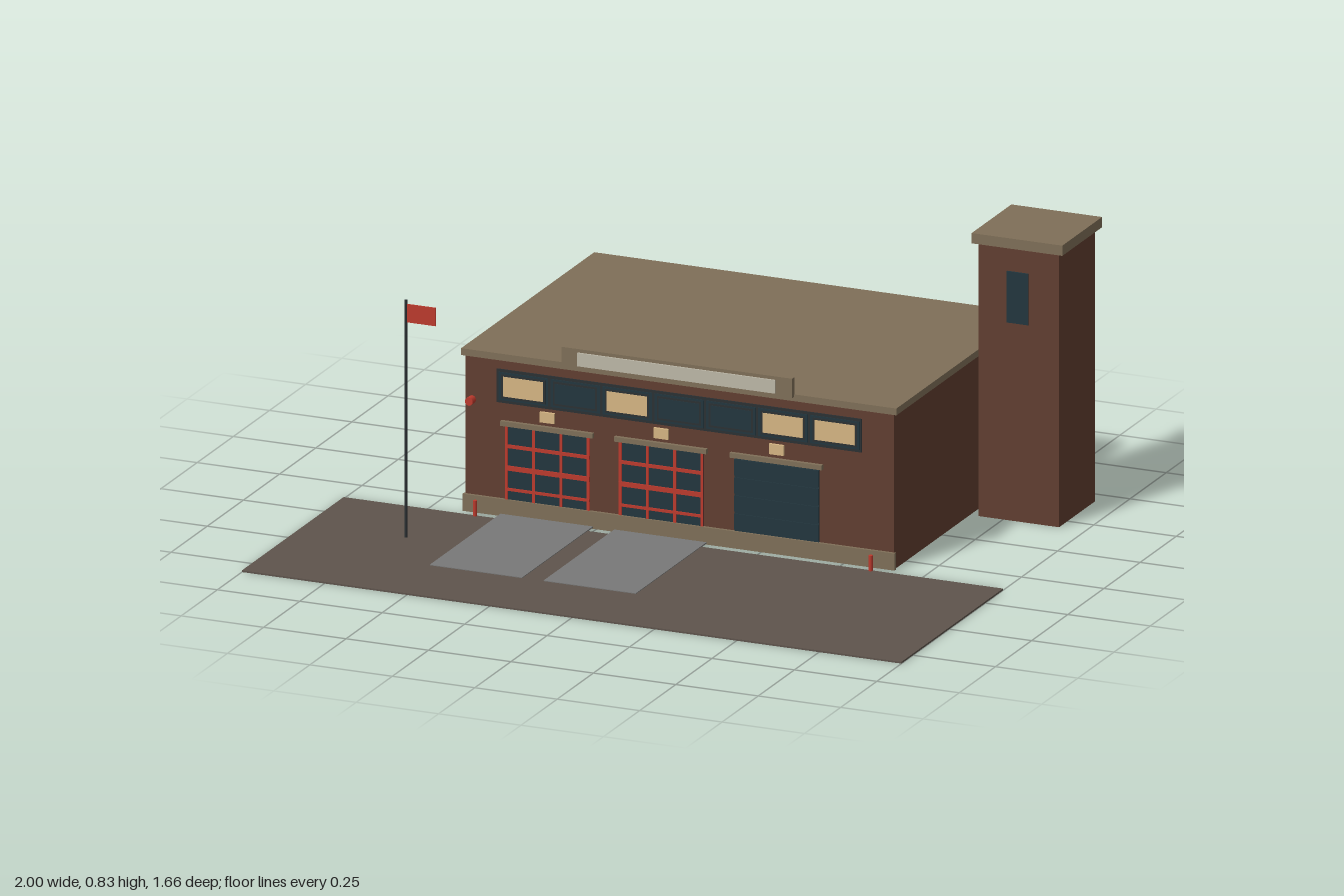
import * as THREE from 'three';

const mat = (name, color) => Object.assign(new THREE.MeshStandardMaterial({ color }), { name });

export function createModel() {
  const model = new THREE.Group();
  model.name = 'fireStation';
  const brick = mat('brick', 0x61402f);
  brick.color.set(0x613e30);
  const stone = mat('stone', 0x7f6f58);
  const asphalt = mat('asphalt', 0x5e544c);
  const concrete = mat('concrete', 0x787878);
  const glass = mat('darkGlass', 0x22363e);
  const frame = mat('darkFrame', 0x2b3033);
  const red = mat('red', 0xbc3a2d);
  const cream = mat('litGlass', 0xd6b684);
  const pale = mat('paleSign', 0xbdb8a8);

  // Box given by its limits on each axis
  const box = (name, m, x0, x1, y0, y1, z0, z1, parent = model) => {
    const mesh = new THREE.Mesh(new THREE.BoxGeometry(x1 - x0, y1 - y0, z1 - z0), m);
    mesh.position.set((x0 + x1) / 2, (y0 + y1) / 2, (z0 + z1) / 2);
    mesh.name = name;
    parent.add(mesh);
    return mesh;
  };
  const cylinder = (name, m, r, h, x, y, z) => {
    const mesh = new THREE.Mesh(new THREE.CylinderGeometry(r, r, h, 12), m);
    mesh.position.set(x, y, z);
    mesh.name = name;
    model.add(mesh);
    return mesh;
  };

  // Forecourt and driveways
  box('forecourt', asphalt, -1, 1, 0, 0.005, 0.127, 0.83);
  for (const x of [-0.4, -0.055]) box('driveway', concrete, x - 0.14, x + 0.14, 0.003, 0.007, 0.085, 0.58);

  // Main hall
  box('hall', brick, -0.65, 0.65, 0, 0.455, -0.82, 0.082);
  box('hallRoof', stone, -0.66, 0.66, 0.455, 0.475, -0.83, 0.09);
  box('plinth', stone, -0.655, 0.655, 0, 0.05, 0.08, 0.091);

  // Hose tower
  box('tower', brick, 0.675, 0.92, 0, 0.8, -0.69, -0.442);
  box('towerCap', stone, 0.66, 0.935, 0.8, 0.83, -0.705, -0.43);
  box('towerWindow', glass, 0.762, 0.828, 0.58, 0.73, -0.443, -0.437);

  // Garage bays: door, lintel and lamp; two with red grilles, one with plain panels
  [-0.4, -0.055, 0.295].forEach((x, i) => {
    const bay = new THREE.Group();
    bay.name = 'garageBay';
    model.add(bay);
    const w = 0.128;
    box('door', glass, x - w, x + w, 0.05, 0.265, 0.08, 0.085, bay);
    box('lintel', stone, x - 0.14, x + 0.14, 0.265, 0.279, 0.08, 0.094, bay);
    box('bayLamp', cream, x - 0.022, x + 0.022, 0.29, 0.32, 0.08, 0.09, bay);
    if (i < 2) {
      for (const k of [-1, -1 / 3, 1 / 3, 1]) {
        const c = x + k * (w - 0.004);
        box('doorUpright', red, c - 0.004, c + 0.004, 0.05, 0.265, 0.084, 0.088, bay);
      }
      for (const [y, h] of [[0.08, 0.004], [0.142, 0.007], [0.206, 0.005]])
        box('doorRail', red, x - w, x + w, y - h, y + h, 0.084, 0.089, bay);
    } else {
      for (let k = 0; k < 4; k++)
        box('doorPanel', glass, x - w, x + w, 0.054 + k * 0.053, 0.101 + k * 0.053, 0.084, 0.088, bay);
    }
  });

  // Ribbon of seven windows, some lit
  box('windowBand', frame, -0.555, 0.552, 0.33, 0.428, 0.08, 0.085);
  for (let i = 0; i < 7; i++) {
    const x = -0.473 + i * 0.1575;
    const lit = [0, 2, 5, 6].includes(i);
    box('windowFrame', glass, x - 0.075, x + 0.075, 0.338, 0.42, 0.084, 0.087);
    box('windowRecess', frame, x - 0.067, x + 0.067, 0.344, 0.414, 0.086, 0.088);
    box('pane', lit ? cream : glass, x - 0.061, x + 0.061, 0.35, 0.408, 0.087, 0.089);
  }

  // Blank sign board above the cornice
  box('signBoard', stone, -0.35, 0.35, 0.468, 0.525, 0.088, 0.104);
  box('signPanel', pale, -0.3, 0.3, 0.476, 0.515, 0.103, 0.109);

  // Alarm bell and bollards
  cylinder('alarmBell', red, 0.012, 0.025, -0.63, 0.327, 0.093).rotation.x = Math.PI / 2;
  for (const x of [-0.6, 0.6]) cylinder('bollard', red, 0.006, 0.05, x, 0.025, 0.131);

  // Flagpole and flag
  cylinder('flagpole', frame, 0.004, 0.7, -0.7, 0.35, 0.38);
  box('flag', red, -0.698, -0.61, 0.635, 0.688, 0.378, 0.382);

  return model;
}
